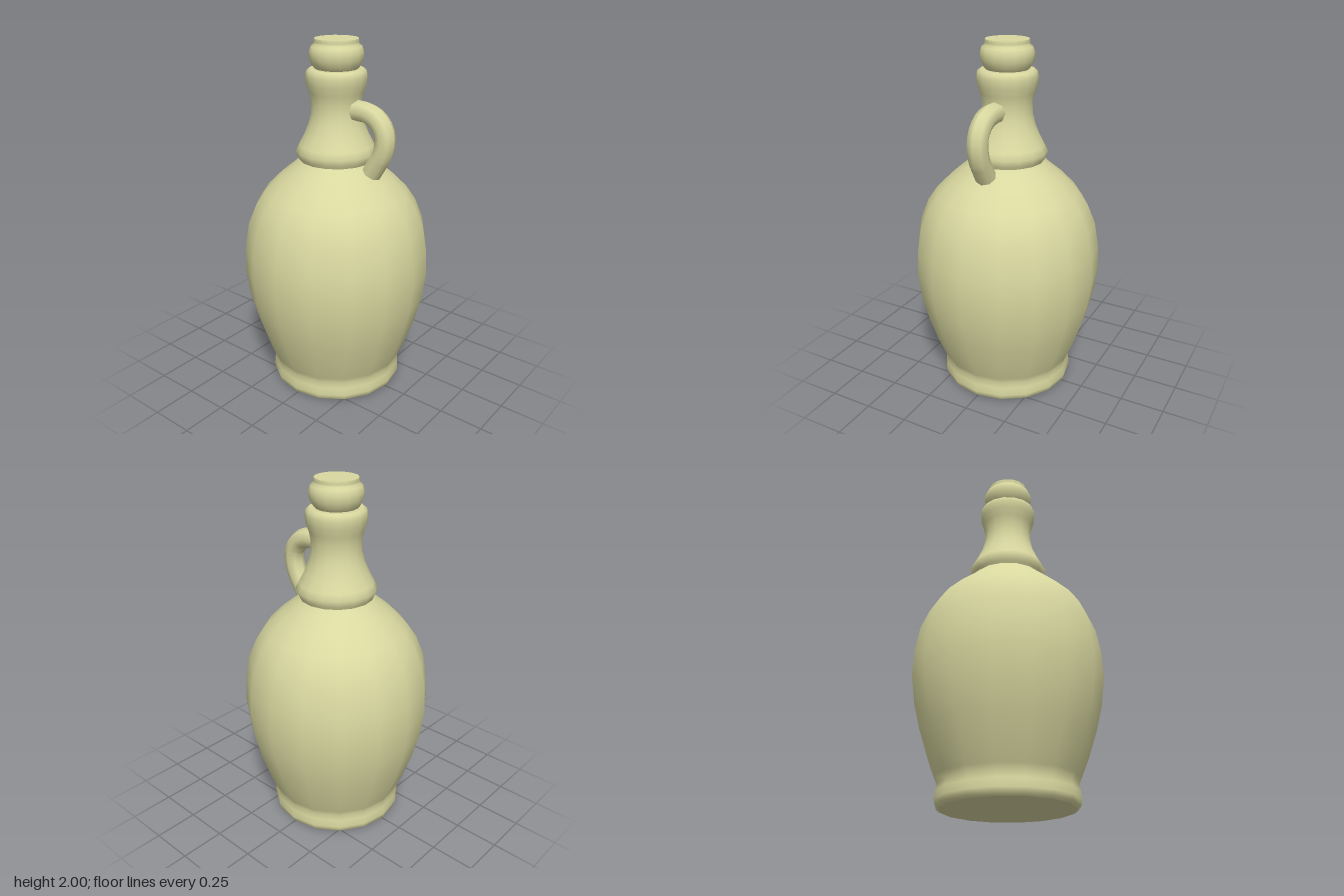
import * as THREE from 'three';

const SIDES = 16;

export function createModel() {
  const group = new THREE.Group();
  const glaze = new THREE.MeshStandardMaterial({ color: 0xd9d8a0 });
  glaze.name = 'pale olive glaze';

  const add = (name, geometry) => {
    const mesh = new THREE.Mesh(geometry, glaze);
    mesh.name = name;
    group.add(mesh);
    return mesh;
  };
  const turned = (name, profile) =>
    add(name, new THREE.LatheGeometry(profile.map(([r, y]) => new THREE.Vector2(r, y)), SIDES));
  const disc = (name, radius, y, facing) => {
    const mesh = add(name, new THREE.CircleGeometry(radius, SIDES));
    mesh.rotation.x = -facing * Math.PI / 2;
    mesh.position.y = y;
  };

  // Foot and swelling body
  turned('body', [
    [0.36, 0], [0.378, 0.012], [0.384, 0.04], [0.378, 0.085], [0.372, 0.12], [0.386, 0.155],
    [0.425, 0.25], [0.475, 0.4], [0.51, 0.54], [0.53, 0.7], [0.524, 0.84], [0.5, 0.98],
    [0.455, 1.09], [0.4, 1.17], [0.32, 1.25], [0.235, 1.32], [0.205, 1.35],
  ]);
  disc('base', 0.36, 0, -1);

  // Collar ring, waisted neck and lip
  turned('neck', [
    [0.2, 1.34], [0.212, 1.365], [0.225, 1.4], [0.207, 1.435], [0.178, 1.49], [0.153, 1.55],
    [0.139, 1.61], [0.138, 1.67], [0.148, 1.72], [0.164, 1.765], [0.167, 1.81],
    [0.16, 1.835], [0.145, 1.845],
  ]);
  disc('lipTop', 0.146, 1.845, 1);

  // Rounded stopper with a small rim
  turned('stopper', [
    [0.115, 1.844], [0.13, 1.862], [0.144, 1.895], [0.146, 1.93], [0.136, 1.96],
    [0.118, 1.972], [0.121, 1.985], [0.118, 2],
  ]);
  disc('stopperTop', 0.118, 2, 1);

  // Looped handle between neck and shoulder
  const path = new THREE.CatmullRomCurve3([
    [0.1, 1.635], [0.2, 1.635], [0.262, 1.612], [0.308, 1.56], [0.321, 1.495],
    [0.305, 1.425], [0.275, 1.37], [0.24, 1.312],
  ].map(([x, y]) => new THREE.Vector3(x, y, 0)));
  add('handle', new THREE.TubeGeometry(path, 16, 0.057, 8));
  const end = add('handleEnd', new THREE.CircleGeometry(0.057, 8));
  end.position.copy(path.getPoint(1));
  end.lookAt(end.position.clone().add(path.getTangent(1)));

  return group;
}
